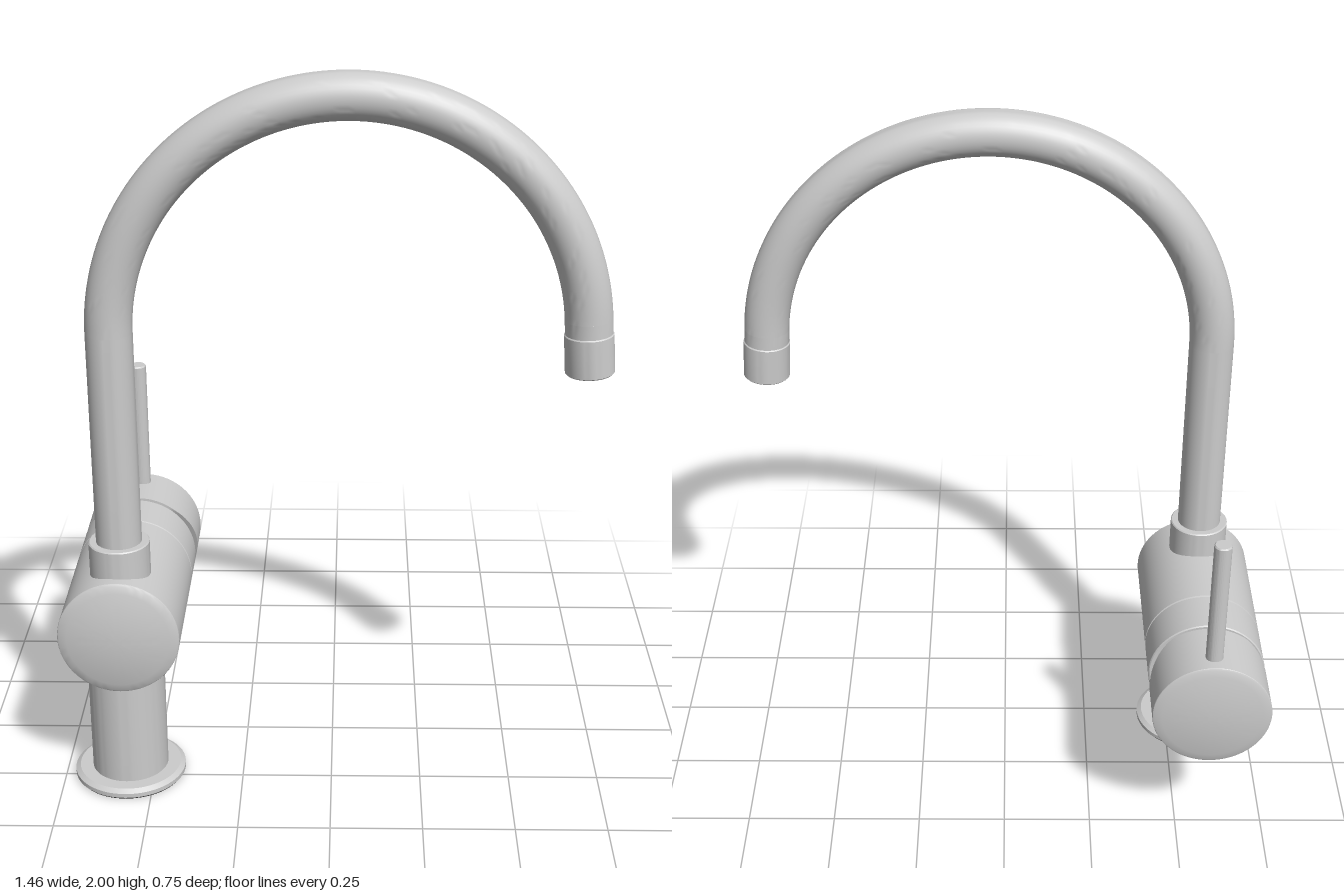
import * as THREE from 'three';
import { toCreasedNormals } from 'three/addons/utils/BufferGeometryUtils.js';

const PIPE_X = -0.57;     // axis of the column, body and riser
const BODY_Y = 0.495;     // height of the horizontal body axis
const BODY_R = 0.164;
const SPOUT_Z = 0.24;

const metal = new THREE.MeshStandardMaterial({ color: 0xcccccc });
const dark = new THREE.MeshStandardMaterial({ color: 0x080808 });

// Turned part from [radius, height] pairs, listed from bottom to top
function turned(profile, segments = 72) {
  return new THREE.LatheGeometry(profile.map(([r, h]) => new THREE.Vector2(r, h)), segments);
}

function addPart(group, name, geometry, x, y, z, material = metal) {
  const mesh = new THREE.Mesh(toCreasedNormals(geometry, 0.33), material);
  mesh.name = name;
  mesh.position.set(x, y, z);
  group.add(mesh);
  return mesh;
}

// Shallow domed end: points from the centre out to the rounded rim
function dome(centre, rim) {
  const points = [];
  for (let i = 0; i <= 8; i++) {
    const r = (BODY_R - 0.006) * i / 8;
    points.push([r, centre + (rim - centre) * 0.8 * (i / 8) ** 2]);
  }
  points.push([BODY_R - 0.001, centre + (rim - centre) * 0.92], [BODY_R, rim]);
  return points;
}

export function createModel() {
  const tap = new THREE.Group();
  tap.name = 'kitchenTap';

  // Base flange, its dark underside and the upright column
  addPart(tap, 'baseFlange', turned([
    [0, 0.001], [0.15, 0.001], [0.155, 0.006], [0.155, 0.018], [0.142, 0.027], [0.1, 0.027],
  ]), PIPE_X, 0, 0.22);
  addPart(tap, 'baseGasket', turned([[0, 0], [0.15, 0], [0.15, 0.001]]), PIPE_X, 0, 0.22, dark);
  addPart(tap, 'column', turned([[0.106, 0.02], [0.106, 0.45]]), PIPE_X, 0, 0.22);

  // Horizontal mixer body with a fine seam and a domed front
  const body = turned([
    [0, -0.173], [0.161, -0.173], [BODY_R, -0.17],
    [BODY_R, -0.039], [0.16, -0.037], [0.16, -0.034], [BODY_R, -0.032],
    ...dome(0.375, 0.348).reverse(),
  ]);
  body.rotateX(Math.PI / 2);
  addPart(tap, 'mixerBody', body, PIPE_X, BODY_Y, 0);

  // Ball joint between body and handle
  addPart(tap, 'ballJoint', new THREE.SphereGeometry(0.13, 48, 32), PIPE_X, BODY_Y, -0.18);

  // Handle cap: domed at the back, its front face cut away on a slant below
  const rings = [];
  for (let i = 0; i <= 28; i++) rings.push([BODY_R * (1 - i / 28), -0.185]);
  const cap = turned([...dome(-0.377, -0.357), ...rings]);
  cap.rotateX(Math.PI / 2);
  const p = cap.attributes.position;
  for (let i = 0; i < p.count; i++) {
    const slant = -0.185 - (0.125 - p.getY(i)) * 0.41;
    p.setZ(i, Math.min(p.getZ(i), slant));
  }
  addPart(tap, 'handleCap', cap, PIPE_X, BODY_Y, 0);

  // Lever pin
  addPart(tap, 'lever', turned([
    [0.024, 0.6], [0.024, 1.026], [0.021, 1.03], [0, 1.03],
  ], 32), PIPE_X, 0, -0.307);

  // Collar that holds the swivel spout
  addPart(tap, 'spoutCollar', turned([
    [0.082, 0.55], [0.082, 0.732], [0.079, 0.735], [0.06, 0.735],
  ]), PIPE_X, 0, SPOUT_Z);

  // Spout: straight riser, then an arc ending slightly short of a half turn
  const R = 0.613, cx = PIPE_X + R, cy = 1.326, end = 0.07;
  const onArc = (a) => new THREE.Vector3(cx + R * Math.cos(a), cy + R * Math.sin(a), 0);
  class Arc extends THREE.Curve {
    getPoint(t, target = new THREE.Vector3()) {
      return target.copy(onArc(Math.PI + (end - Math.PI) * t));
    }
  }
  const down = new THREE.Vector3(Math.sin(end), -Math.cos(end), 0);
  const arcEnd = onArc(end);
  const tipTop = arcEnd.clone().addScaledVector(down, 0.038);
  addPart(tap, 'riser', turned([[0.0615, 0.65], [0.0615, cy]], 40), PIPE_X, 0, SPOUT_Z);
  addPart(tap, 'spoutArc', new THREE.TubeGeometry(new Arc(), 96, 0.0615, 40), 0, 0, SPOUT_Z);
  addPart(tap, 'spoutEnd', new THREE.TubeGeometry(
    new THREE.LineCurve3(arcEnd, tipTop), 1, 0.0615, 40), 0, 0, SPOUT_Z);

  // Outlet nozzle: hollow tip with a recessed aerator
  const nozzle = new THREE.Group();
  nozzle.name = 'nozzle';
  nozzle.position.set(tipTop.x, tipTop.y, SPOUT_Z);
  nozzle.rotation.z = end;
  addPart(nozzle, 'nozzleSleeve', turned([
    [0.046, -0.08], [0.046, -0.108], [0.061, -0.108], [0.064, -0.105],
    [0.064, -0.003], [0.061, 0], [0.05, 0],
  ], 40), 0, 0, 0);
  addPart(nozzle, 'aerator', turned([[0, -0.09], [0.046, -0.09]], 40), 0, 0, 0, dark);
  for (const r of [0.014, 0.03]) {
    const ring = new THREE.TorusGeometry(r, 0.003, 8, 32);
    ring.rotateX(Math.PI / 2);
    addPart(nozzle, 'aeratorRing', ring, 0, -0.091, 0);
  }
  tap.add(nozzle);

  return tap;
}
